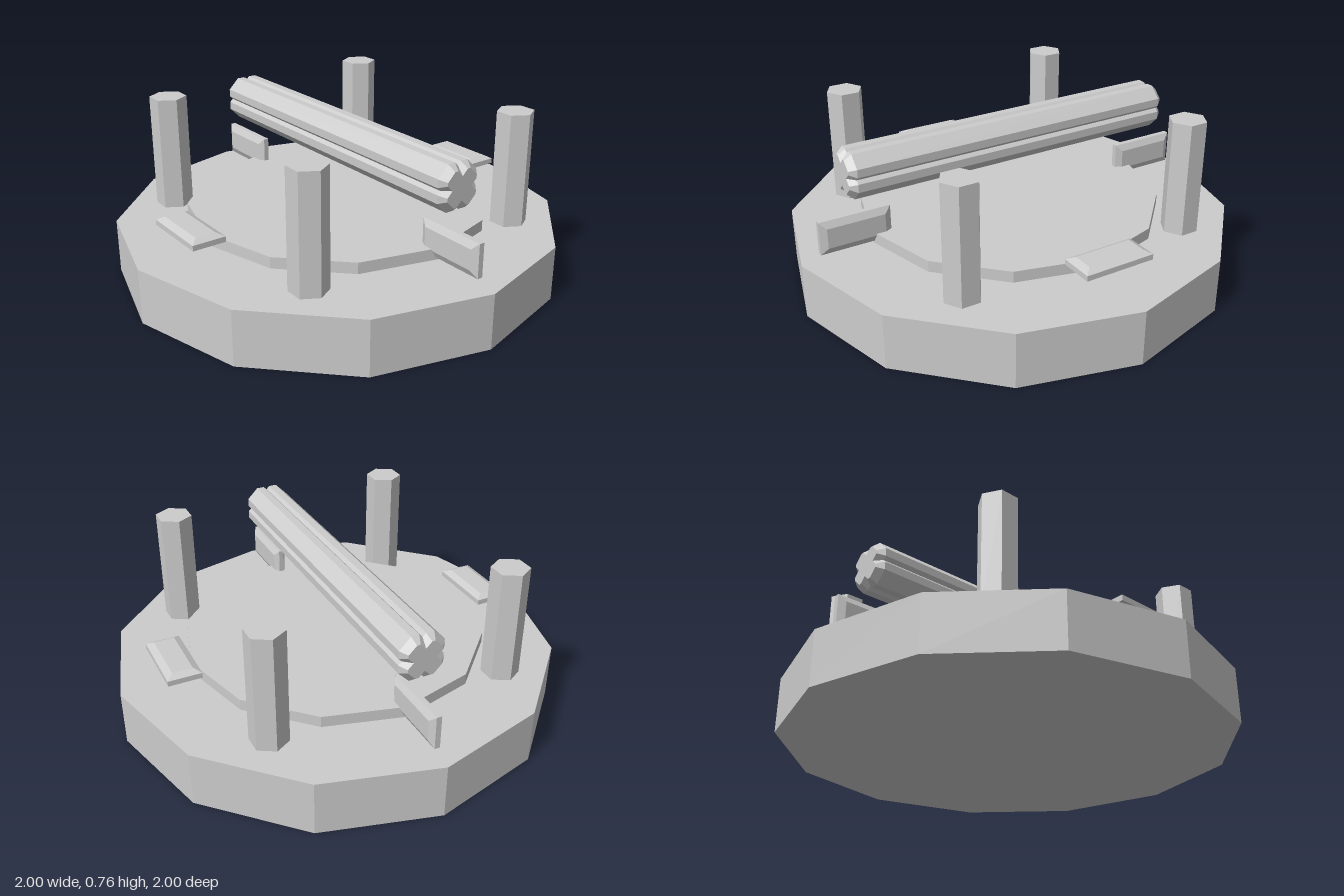
import * as THREE from 'three';

const stone = new THREE.MeshStandardMaterial({ color: 0xcccccc, flatShading: true });
stone.name = 'pale grey';

// Bevelled prism along z, centred on the origin; size is the full length
function prism(points, length, bevelSize, bevelThickness) {
  const shape = new THREE.Shape(points.map(([x, y]) => new THREE.Vector2(x, y)));
  const depth = length - 2 * bevelThickness;
  const geometry = new THREE.ExtrudeGeometry(shape, {
    depth, bevelEnabled: true, bevelSegments: 1, bevelSize, bevelThickness,
  });
  return geometry.translate(0, 0, -depth / 2);
}

export function createModel() {
  const model = new THREE.Group();
  model.name = 'roundPlatform';

  function add(name, geometry, x, y, z) {
    const mesh = new THREE.Mesh(geometry, stone);
    mesh.name = name;
    mesh.position.set(x, y, z);
    model.add(mesh);
    return mesh;
  }

  // Twelve-sided base and the thin disc hovering just above it
  add('base', new THREE.CylinderGeometry(1, 1, 0.245, 12), 0, 0.1225, 0);
  add('innerDisc', new THREE.CylinderGeometry(0.68, 0.68, 0.05, 12), 0, 0.29, 0);

  // Four hexagonal posts
  const post = new THREE.CylinderGeometry(0.083, 0.083, 0.515, 6);
  for (const sx of [-1, 1]) {
    for (const sz of [-1, 1]) add('post', post, sx * 0.547, 0.5025, sz * 0.547);
  }

  // Grooved bar: one quarter of the end profile, turned four times
  const quarter = [[0.05, 0], [0.075, 0.025], [0.075, 0.04], [0.04, 0.075], [0.025, 0.075]];
  const profile = [];
  for (let i = 0; i < 4; i++) {
    const c = [1, 0, -1, 0][i];
    const s = [0, 1, 0, -1][i];
    for (const [x, y] of quarter) profile.push([x * c - y * s, x * s + y * c]);
  }
  add('groovedBar', prism(profile, 1.59, 0.025, 0.03), 0, 0.613, 0);

  // Bevelled slabs: lying flat at the sides, on edge at front and back
  const slab = prism([[-0.045, -0.13], [0.045, -0.13], [0.045, 0.13], [-0.045, 0.13]], 0.056, 0.03, 0.016);
  slab.rotateX(Math.PI / 2);
  for (const s of [-1, 1]) {
    add('sideSlab', slab, s * 0.757, 0.352, 0);
    add('endSlab', slab, 0, 0.352, s * 0.757).rotation.z = Math.PI / 2;
  }

  return model;
}
